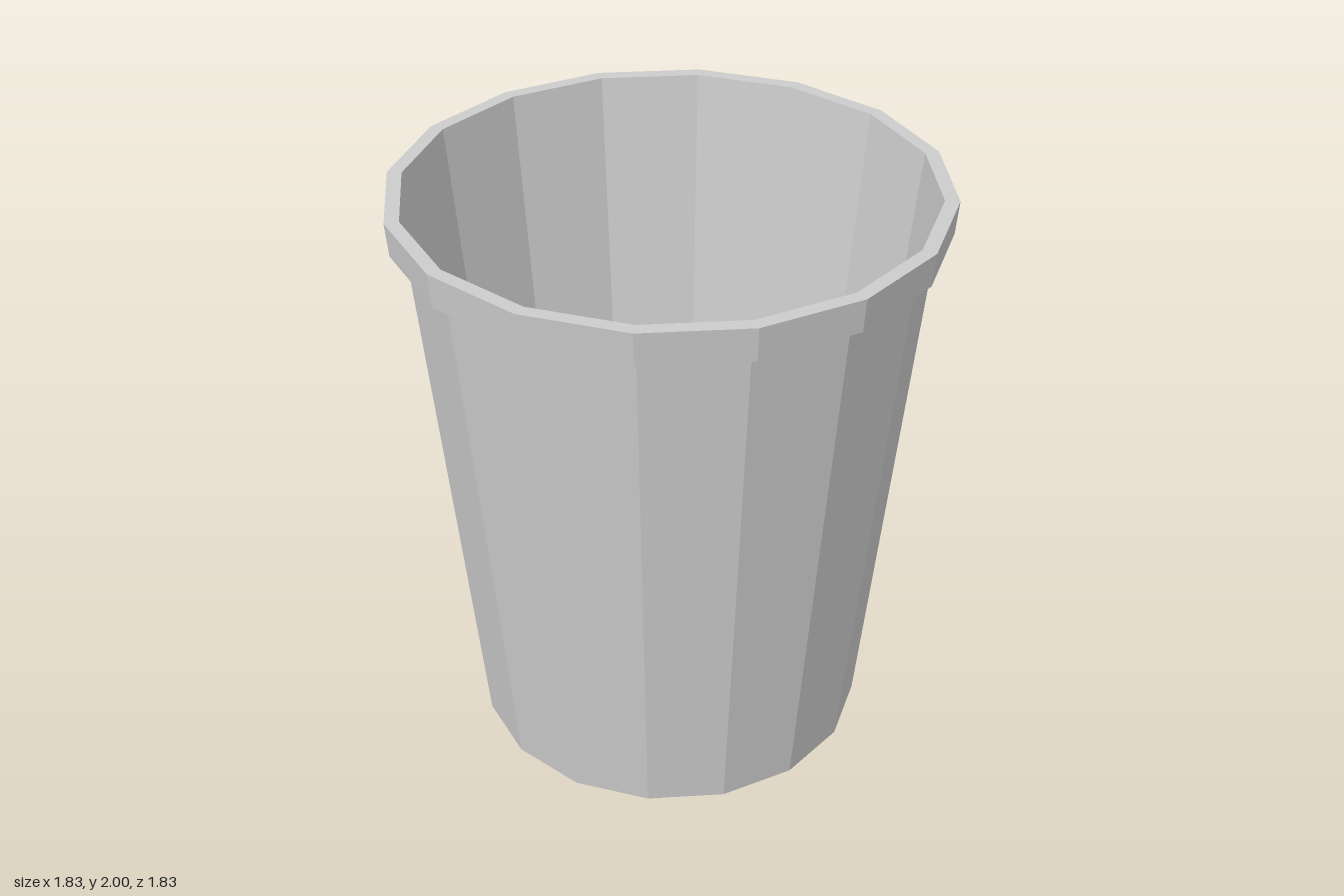
import * as THREE from 'three';

const SIDES = 16;

export function createModel() {
  const model = new THREE.Group();
  model.name = 'wasteBin';
  const material = new THREE.MeshStandardMaterial({ color: 0xcccccc, flatShading: true });

  // Revolves [radius, height] points; a rising profile faces outward.
  function addRing(name, profile) {
    const points = profile.map(([r, y]) => new THREE.Vector2(r, y));
    const mesh = new THREE.Mesh(new THREE.LatheGeometry(points, SIDES), material);
    mesh.name = name;
    model.add(mesh);
  }

  // Flat faceted disc, facing up or down
  function addDisc(name, radius, y, up) {
    const geometry = new THREE.CircleGeometry(radius, SIDES);
    geometry.rotateX(up ? -Math.PI / 2 : Math.PI / 2);
    const mesh = new THREE.Mesh(geometry, material);
    mesh.name = name;
    mesh.position.y = y;
    model.add(mesh);
  }

  // Tapered outside of the bin and its underside
  addRing('outerWall', [[0.67, 0], [0.853, 1.885]]);
  addDisc('underside', 0.67, 0, false);

  // Overhanging lip: lower ledge, outer band, top edge
  addRing('rim', [[0.853, 1.885], [0.903, 1.885], [0.913, 2], [0.865, 2]]);

  // Inside of the bin and its floor
  addRing('innerWall', [[0.865, 2], [0.655, 0.015]]);
  addDisc('floor', 0.655, 0.015, true);

  return model;
}
